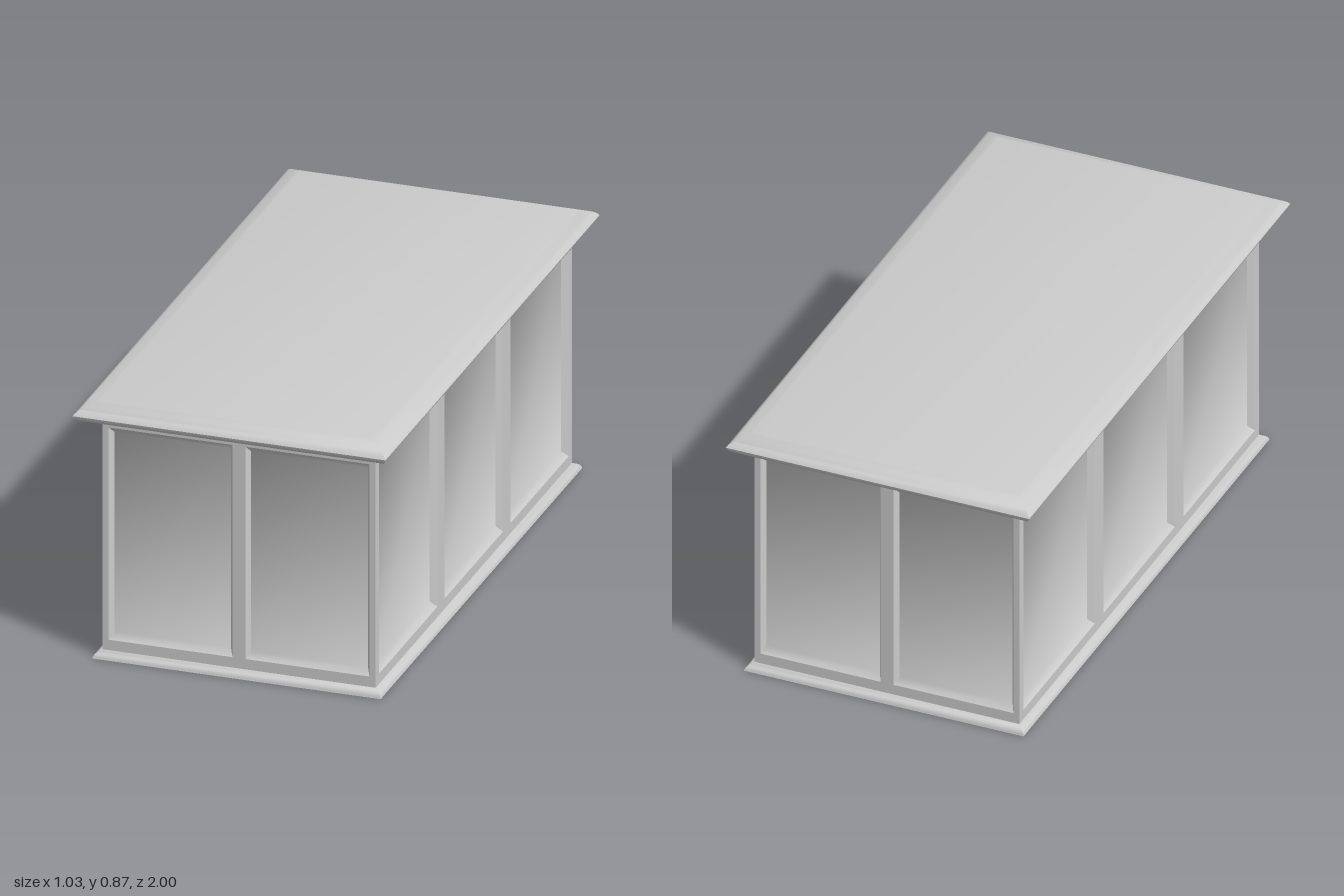
import * as THREE from 'three';
import { toCreasedNormals } from 'three/addons/utils/BufferGeometryUtils.js';

const material = new THREE.MeshStandardMaterial({ color: 0xcccccc });

// Mitred loft through rectangles [halfWidth, halfHeight, z], capped at the end and optionally the start
function rectLoft(rings, capStart) {
  const positions = [], index = [];
  for (const [w, h, z] of rings) {
    positions.push(-w, -h, z, w, -h, z, w, h, z, -w, h, z);
  }
  for (let i = 0; i < rings.length - 1; i++) {
    for (let j = 0; j < 4; j++) {
      const a = i * 4 + j, b = i * 4 + (j + 1) % 4;
      index.push(a, b, b + 4, a, b + 4, a + 4);
    }
  }
  const e = (rings.length - 1) * 4;
  index.push(e, e + 1, e + 2, e, e + 2, e + 3);
  if (capStart) index.push(0, 2, 1, 0, 3, 2);
  const geometry = new THREE.BufferGeometry();
  geometry.setAttribute('position', new THREE.Float32BufferAttribute(positions, 3));
  geometry.setIndex(index);
  return toCreasedNormals(geometry, 0.85);
}

// Horizontal moulding: profile points are [overhang, y] around a half-size rectangle
function moulding(name, halfX, halfZ, profile) {
  const geometry = rectLoft(profile.map(([o, y]) => [halfX + o, halfZ + o, y]), true);
  geometry.rotateX(-Math.PI / 2);
  const mesh = new THREE.Mesh(geometry, material);
  mesh.name = name;
  return mesh;
}

// Wall with bevelled, recessed panels, facing +z
function panelledWall(name, halfWidth, centres, panelHalf, bevel) {
  const y0 = 0.02, y1 = 0.82, cy = 0.4185, panelHalfY = 0.3585;
  const wall = new THREE.Group();
  wall.name = name;
  const shape = new THREE.Shape([[-halfWidth, y0], [halfWidth, y0], [halfWidth, y1], [-halfWidth, y1]]
    .map(([x, y]) => new THREE.Vector2(x, y)));
  const recess = rectLoft([
    [panelHalf, panelHalfY, 0],
    [panelHalf - bevel, panelHalfY - 0.021, -0.02],
  ], false);
  for (const cx of centres) {
    shape.holes.push(new THREE.Path([[-1, -1], [-1, 1], [1, 1], [1, -1]]
      .map(([x, y]) => new THREE.Vector2(cx + x * panelHalf, cy + y * panelHalfY))));
    const panel = new THREE.Mesh(recess, material);
    panel.name = 'recessedPanel';
    panel.position.set(cx, cy, 0);
    wall.add(panel);
  }
  const frame = new THREE.Mesh(new THREE.ShapeGeometry(shape), material);
  frame.name = 'wallFrame';
  wall.add(frame);
  return wall;
}

export function createModel() {
  const model = new THREE.Group();
  model.name = 'counter';
  const bodyX = 0.448, bodyZ = 0.917;

  // Body: two-panel ends and three-panel sides
  const cabinet = new THREE.Group();
  cabinet.name = 'cabinet';
  cabinet.position.set(0.003, 0, -0.003);
  for (const s of [1, -1]) {
    const end = panelledWall(s > 0 ? 'frontWall' : 'backWall', bodyX, [-0.2245, 0.2245], 0.203, 0.0115);
    end.position.z = s * bodyZ;
    end.rotation.y = s > 0 ? 0 : Math.PI;
    const side = panelledWall(s > 0 ? 'leftWall' : 'rightWall', bodyZ, [-0.613, 0, 0.613], 0.273, 0.016);
    side.position.x = s * bodyX;
    side.rotation.y = s * Math.PI / 2;
    cabinet.add(end, side);
  }

  // Flared plinth
  cabinet.add(moulding('plinth', bodyX, bodyZ, [
    [0.0245, 0], [0.0235, 0.006], [0.019, 0.013], [0.011, 0.019], [0, 0.025],
  ]));
  model.add(cabinet);

  // Moulded worktop
  model.add(moulding('worktop', 0.513, 1, [
    [-0.024, 0.815], [-0.01, 0.821], [-0.002, 0.831], [0, 0.838],
    [-0.006, 0.846], [-0.018, 0.855], [-0.04, 0.863], [-0.053, 0.87], [-0.065, 0.873],
  ]));
  return model;
}
